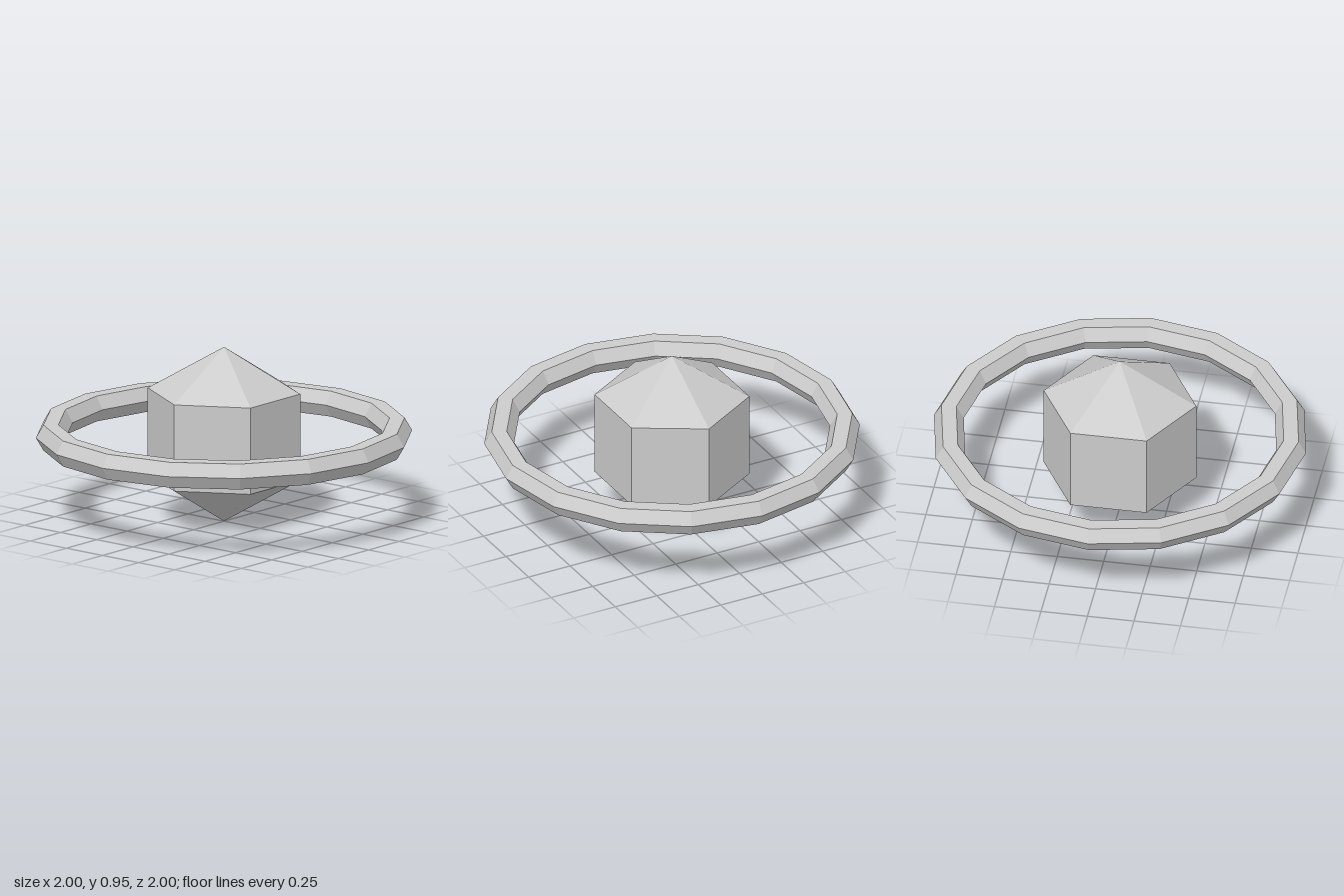
import * as THREE from 'three';

const RADIUS = 0.41;   // crystal, corner to axis
const LOW = 0.24;      // bottom of the prism
const HIGH = 0.71;     // top of the prism
const HEIGHT = 0.95;   // upper tip
const MID = HEIGHT / 2;

export function createModel() {
  const model = new THREE.Group();
  model.name = 'ringedCrystal';
  const grey = new THREE.MeshStandardMaterial({ color: 0xcccccc, flatShading: true });
  grey.name = 'light grey';

  const add = (name, geometry, y) => {
    const mesh = new THREE.Mesh(geometry, grey);
    mesh.name = name;
    mesh.position.y = y;
    model.add(mesh);
  };

  // six-sided open tube or cone with corners on the x axis
  const hexagon = (top, bottom, height) =>
    new THREE.CylinderGeometry(top, bottom, height, 6, 1, true, Math.PI / 2);

  // crystal: prism with a pointed cap at each end
  add('crystalBody', hexagon(RADIUS, RADIUS, HIGH - LOW), (LOW + HIGH) / 2);
  add('crystalTopPoint', hexagon(0, RADIUS, HEIGHT - HIGH), (HIGH + HEIGHT) / 2);
  add('crystalBottomPoint', hexagon(RADIUS, 0, LOW), LOW / 2);

  // floating ring with a hexagonal section
  add('ring', new THREE.TorusGeometry(0.92, 0.08, 6, 16).rotateX(-Math.PI / 2), MID);

  return model;
}
